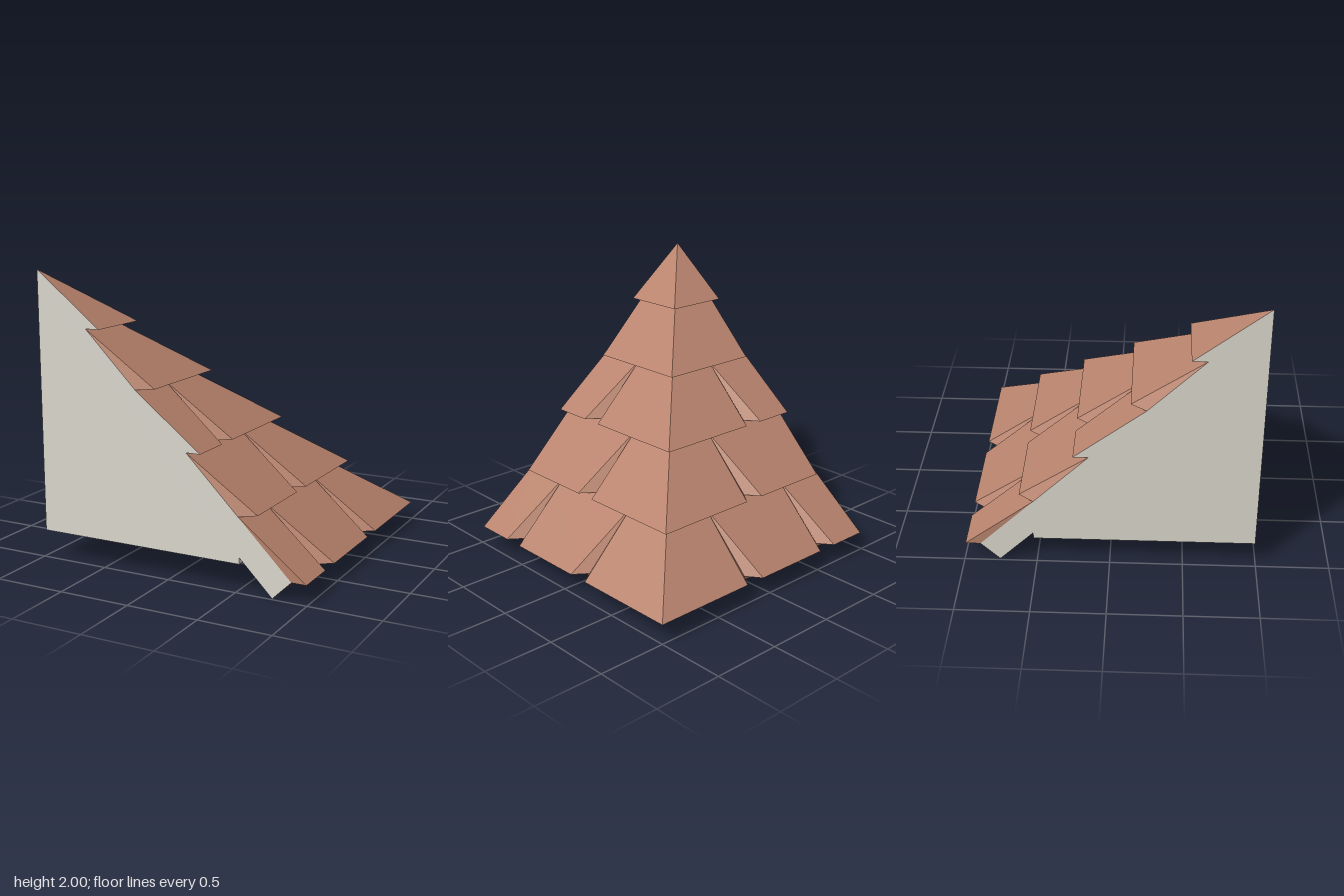
import * as THREE from 'three';

const H = 0.988;          // half of the footprint
const ROWS = 5;
const STEP = 0.375;       // run of one shingle course
const DROP = 0.374;       // fall of one shingle course
const REACH = 0.478;      // run of a course including its overhang
const NOTCH = 0.075;      // half width of a gap at the eave of a course
const SPACING = 0.75;     // distance between gaps

// A point is [s, d, y]: s along the eave from the wall, d out from the wall corner.
// The second slope is the first one mirrored across the hip.
function meshFrom(name, triangles, material, mirrored) {
  const pos = [];
  for (const tri of triangles) {
    const corners = mirrored ? [tri[0], tri[2], tri[1]] : tri;
    for (const [s, d, y] of corners) {
      if (mirrored) pos.push(s - H, y, H - d);
      else pos.push(d - H, y, H - s);
    }
  }
  const g = new THREE.BufferGeometry();
  g.setAttribute('position', new THREE.Float32BufferAttribute(pos, 3));
  g.computeVertexNormals();
  const mesh = new THREE.Mesh(g, material);
  mesh.name = name;
  return mesh;
}

const quad = (a, b, c, d) => [[a, b, c], [a, c, d]];

// Strip from the wall to the hip between two profile points [d, y]
const band = ([d0, y0], [d1, y1]) =>
  quad([0, d0, y0], [0, d1, y1], [d1, d1, y1], [d0, d0, y0]);

const course = (k) => ({
  d0: k * STEP, y0: 2 - k * DROP,
  d1: k * STEP + REACH, d2: (k + 1) * STEP, y1: 2 - (k + 1) * DROP,
});

// One course of shingles with tapered gaps
function courseTriangles(k) {
  const { d0, y0, d1, d2, y1 } = course(k);
  const gaps = [];
  if (k > 0) {
    for (let c = k % 2 ? 0 : STEP; c < d0 - 0.1; c += SPACING) gaps.push(c);
  }
  const tris = [];

  // Each end of a shingle: s at the top, at the outer lip and at the inner lip
  const ends = gaps.map((c) => ({ top: c, left: c - NOTCH, right: c + NOTCH, inner: c }));
  if (gaps[0] !== 0) ends.unshift({ top: 0, left: 0, right: 0, inner: 0 });
  ends.push({ top: d0, left: d1, right: d1, inner: d2 });

  for (let i = 0; i < ends.length - 1; i++) {
    const a = ends[i], b = ends[i + 1];
    tris.push(...quad([a.top, d0, y0], [a.right, d1, y1], [b.left, d1, y1], [b.top, d0, y0]));
    tris.push(...quad([a.right, d1, y1], [a.inner, d2, y1], [b.inner, d2, y1], [b.left, d1, y1]));
  }

  // Sloping sides of the gaps
  for (const c of gaps) {
    const apex = [c, d0, y0], valley = [c, d2, y1];
    if (c > 0) tris.push([apex, [c - NOTCH, d1, y1], valley]);
    tris.push([apex, valley, [c + NOTCH, d1, y1]]);
  }

  // End cap of the lowest course
  if (k === ROWS - 1) tris.push([[0, d0, y0], [0, d2, y1], [0, d1, y1]]);
  return tris;
}

// Eave board and soffit profile
const EAVE = [[ROWS * STEP, 2 - ROWS * DROP], [1.743, 0], [1.508, 0.235], [1.508, 0.19], [0, 0.19]];

// Flat cut side with the stepped outline
function wallTriangles() {
  const outline = [];
  for (let k = 0; k < ROWS; k++) {
    const { d0, y0, d1, y1 } = course(k);
    outline.push(new THREE.Vector2(d0, y0));
    if (k === 0 || k === 2) outline.push(new THREE.Vector2(d1, y1));
  }
  for (const [d, y] of EAVE) outline.push(new THREE.Vector2(d, y));
  outline.reverse();
  return THREE.ShapeUtils.triangulateShape(outline, [])
    .map((f) => f.map((i) => [0, outline[i].x, outline[i].y]));
}

export function createModel() {
  const clay = new THREE.MeshStandardMaterial({ color: 0xb7826c });
  clay.name = 'clay';
  const plaster = new THREE.MeshStandardMaterial({ color: 0xdad7cd });
  plaster.name = 'plaster';

  const roof = new THREE.Group();
  roof.name = 'roofCorner';

  for (const mirrored of [false, true]) {
    const side = new THREE.Group();
    side.name = mirrored ? 'backSlope' : 'leftSlope';
    for (let k = 0; k < ROWS; k++) {
      side.add(meshFrom('shingleCourse' + (k + 1), courseTriangles(k), clay, mirrored));
    }
    const board = [...band(EAVE[0], EAVE[1]), ...band(EAVE[1], EAVE[2])];
    side.add(meshFrom('eaveBoard', board, clay, mirrored));
    const soffit = [...band(EAVE[2], EAVE[3]), ...band(EAVE[3], EAVE[4])];
    side.add(meshFrom('soffit', soffit, plaster, mirrored));
    side.add(meshFrom('wall', wallTriangles(), plaster, mirrored));
    roof.add(side);
  }
  return roof;
}
